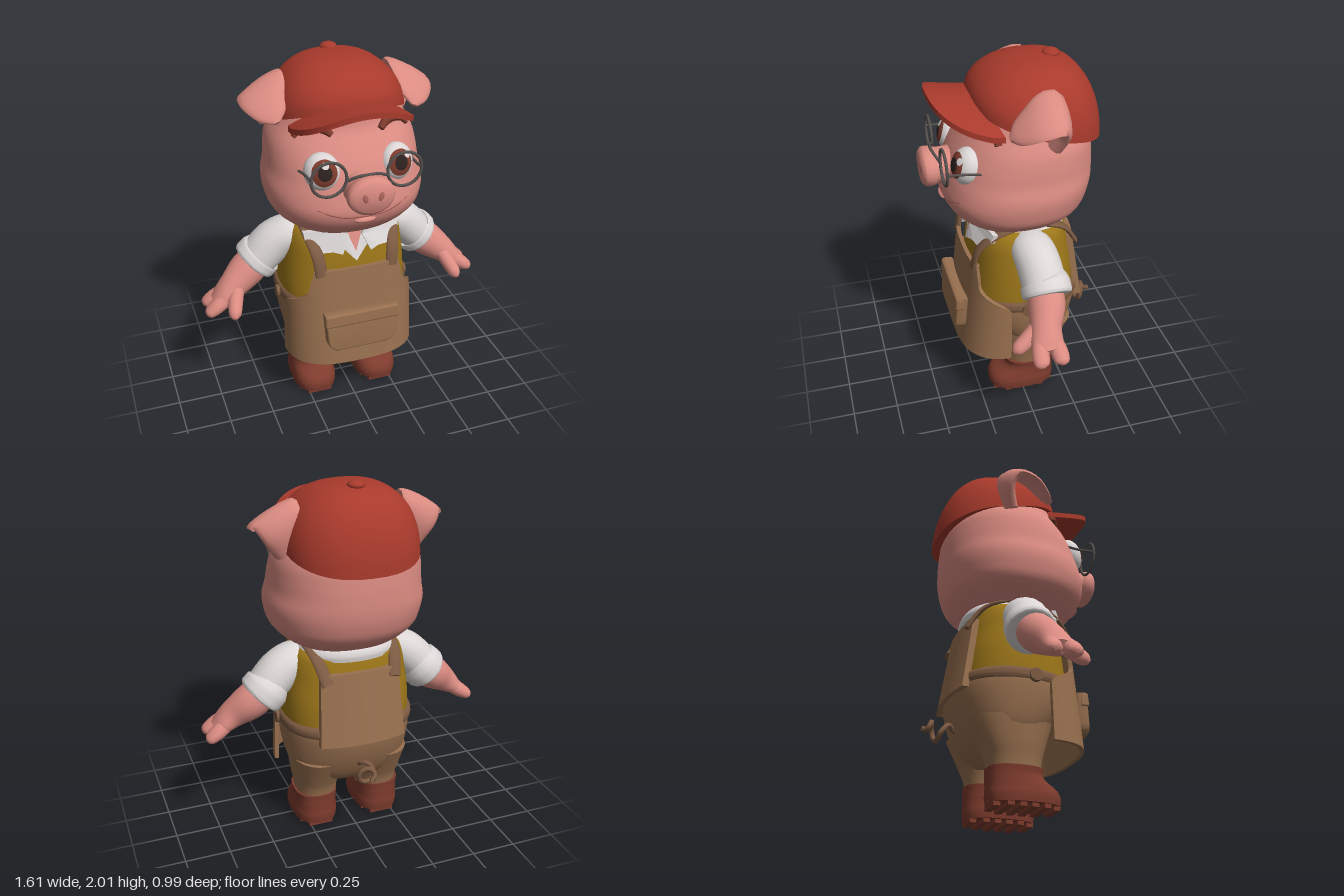
import * as THREE from 'three';
import { toCreasedNormals } from 'three/addons/utils/BufferGeometryUtils.js';
import { RoundedBoxGeometry } from 'three/addons/geometries/RoundedBoxGeometry.js';

const V = (x, y, z) => new THREE.Vector3(x, y, z);
const { lerp, smoothstep, degToRad } = THREE.MathUtils;
const mat = (name, color) => new THREE.MeshStandardMaterial({ name, color, side: THREE.DoubleSide });
const M = {
  skin: mat('skin pink', 0xdb8c82), deep: mat('deep pink', 0xb0665e), red: mat('cap red', 0xa83a2c),
  white: mat('shirt white', 0xdcd6d6), mustard: mat('vest mustard', 0x9c7619), brown: mat('overall brown', 0x98704f),
  strap: mat('strap brown', 0x7c5a42), boot: mat('boot brown', 0x7d3b2d), dark: mat('near black', 0x2c2220),
  metal: mat('metal grey', 0x55504e),
};

// Joins rows of points into a closed skin; strip caps suit thin slabs, fan caps suit round ends.
function loft(rows, strip = false, crease = 0.8) {
  const n = rows[0].length, m = rows.length, pos = rows.flat().flatMap(p => [p.x, p.y, p.z]), idx = [];
  for (let i = 0; i < m - 1; i++) for (let j = 0; j < n; j++) {
    const k = (j + 1) % n, a = i * n + j, b = i * n + k;
    idx.push(a, b, a + n, b, b + n, a + n);
  }
  [0, m - 1].forEach((r, e) => {
    const tri = (a, b, c) => (e ? idx.push(a, b, c) : idx.push(a, c, b));
    if (strip) for (let j = 0; j < n / 2 - 1; j++) {
      const a = r * n + j, d = r * n + n - 1 - j;
      tri(a, a + 1, d); tri(a + 1, d - 1, d);
    } else {
      const c = rows[r].reduce((s, p) => s.add(p), V(0, 0, 0)).divideScalar(n);
      pos.push(c.x, c.y, c.z);
      for (let j = 0; j < n; j++) tri(pos.length / 3 - 1, r * n + j, r * n + (j + 1) % n);
    }
  });
  const g = new THREE.BufferGeometry();
  g.setAttribute('position', new THREE.Float32BufferAttribute(pos, 3));
  g.setIndex(idx);
  return toCreasedNormals(g, crease);
}

const sp = (v, n) => Math.sign(v) * Math.abs(v) ** (2 / n);

// Smooths a list of five-number stations
function smooth(list, per = 4) {
  const A = new THREE.CatmullRomCurve3(list.map(s => V(s[0], s[1], s[2])), false, 'catmullrom');
  const B = new THREE.CatmullRomCurve3(list.map(s => V(s[3], s[4] ?? 0, 0)), false, 'catmullrom');
  const N = (list.length - 1) * per;
  return Array.from({ length: N + 1 }, (_, i) => {
    const a = A.getPoint(i / N), b = B.getPoint(i / N);
    return [a.x, a.y, a.z, b.x, b.y];
  });
}

// Upright body from stations [y, halfWidth, frontZ, backZ]
function upright(list, n = 2.3, cx = 0, seg = 40) {
  return loft(smooth(list).map(([y, rx, f, b]) => Array.from({ length: seg }, (_, j) => {
    const a = j / seg * Math.PI * 2;
    return V(cx + rx * sp(Math.sin(a), n), y, (f + b) / 2 + (f - b) / 2 * sp(Math.cos(a), n));
  })));
}

// Limb from stations [x, y, z, sideRadius, otherRadius]
function limb(list, side, seg = 18) {
  const s = smooth(list), P = s.map(q => V(q[0], q[1], q[2]));
  return loft(s.map((q, i) => {
    const T = P[Math.min(i + 1, P.length - 1)].clone().sub(P[Math.max(i - 1, 0)]).normalize();
    const W = side.clone().addScaledVector(T, -side.dot(T)).normalize(), U = T.clone().cross(W);
    return Array.from({ length: seg }, (_, j) => {
      const a = j / seg * Math.PI * 2;
      return P[i].clone().addScaledVector(W, q[3] * Math.cos(a)).addScaledVector(U, q[4] * Math.sin(a));
    });
  }), false, 1.0);
}

// Thin curved panel; fn(u, v, w) has w = 0 outside and w = 1 inside
function slab(nu, nv, fn) {
  return loft(Array.from({ length: nv + 1 }, (_, i) => {
    const row = w => Array.from({ length: nu + 1 }, (_, j) => fn(j / nu, i / nv, w));
    return [...row(0), ...row(1).reverse()];
  }), true);
}

const HEAD = [[1.08, .17, .15, -.18], [1.12, .29, .27, -.28], [1.2, .39, .355, -.365], [1.28, .422, .39, -.4],
  [1.36, .43, .38, -.415], [1.44, .413, .36, -.418], [1.52, .405, .33, -.415], [1.6, .39, .285, -.405],
  [1.68, .35, .235, -.37], [1.76, .3, .215, -.32], [1.84, .2, .15, -.22]];

// Depth of the face at x, y
function faceZ(x, y) {
  const i = HEAD.findIndex(h => h[0] > y), a = HEAD[i - 1], b = HEAD[i], t = (y - a[0]) / (b[0] - a[0]);
  const [, rx, f, k] = a.map((v, c) => lerp(v, b[c], t));
  return (f + k) / 2 + (f - k) / 2 * (1 - (Math.abs(x) / rx) ** 2.3) ** (1 / 2.3);
}

export function createModel() {
  const root = new THREE.Group();
  root.name = 'pigInOveralls';
  const add = (name, geo, m, parent = root) => {
    const o = new THREE.Mesh(geo, m);
    o.name = name;
    parent.add(o);
    return o;
  };
  const ball = (name, m, p, r) => {
    const o = add(name, new THREE.SphereGeometry(1, 20, 14), m);
    o.position.set(...p); o.scale.set(...r);
    return o;
  };
  const tube = (name, pts, r, m) => add(name, new THREE.TubeGeometry(new THREE.CatmullRomCurve3(pts), 40, r, 8), m);

  // Head, snout and mouth
  add('head', upright(HEAD), M.skin);
  add('snout', limb([[0, 1.41, .3, .12, .11], [0, 1.42, .4, .11, .09], [0, 1.42, .43, .123, .1],
    [0, 1.42, .47, .123, .1], [0, 1.42, .49, .1, .08]], V(1, 0, 0), 28), M.skin);
  tube('mouth', [-.24, -.18, -.1, -.04, 0, .04, .1, .18, .24].map(x => {
    const y = 1.27 + .9 * x * x - (Math.abs(x) < .05 ? 0 : .006);
    return V(x, y, faceZ(x, y) - .002);
  }), .006, M.deep);
  ball('lowerLip', M.skin, [0, 1.247, .375], [.06, .018, .025]);

  // Cap crown, button and drooping peak
  add('capCrown', loft(Array.from({ length: 13 }, (_, i) => {
    const f = i / 12 * Math.PI * .49, c = Math.cos(f) ** .75, s = Math.sin(f);
    return Array.from({ length: 44 }, (_, j) => {
      const a = j / 44 * Math.PI * 2, zn = Math.cos(a) * c;
      return V(.36 * c * sp(Math.sin(a), 2.4), lerp(1.66 + (zn > 0 ? .12 : .09) * zn, 1.985, s),
        -.115 + .345 * c * sp(Math.cos(a), 2.4));
    });
  })), M.red);
  ball('capButton', M.red, [0, 1.98, -.21], [.046, .025, .046]);
  add('capPeak', slab(28, 8, (u, v, w) => {
    const x = .32 * (2 * u - 1), out = (1 - v) * Math.sqrt(1 - (x / .325) ** 4);
    return V(x, 1.815 - 1.15 * x * x + .035 * out - .03 * w, .18 - .7 * x * x + .265 * out);
  }), M.red);

  for (const s of [1, -1]) {
    const side = s > 0 ? 'left' : 'right';
    // Folded ear
    add(side + 'Ear', limb([[.35 * s, 1.64, -.13, .06, .04], [.385 * s, 1.76, -.165, .1, .035],
      [.4 * s, 1.84, -.13, .135, .03], [.41 * s, 1.815, -.03, .125, .025], [.385 * s, 1.75, .06, .08, .02],
      [.37 * s, 1.715, .1, .02, .01]], V(.85 * s, -.48, .1)), M.skin);

    // Eye: white ball with iris, pupil and glint caps
    const eye = new THREE.Group();
    eye.name = side + 'Eye';
    eye.position.set(.2 * s, 1.505, .283);
    eye.rotation.set(-.3, .3 * s, 0);
    eye.scale.set(.093, .098, .07);
    root.add(eye);
    add('eyeWhite', new THREE.SphereGeometry(1, 24, 18), M.white, eye);
    const cap = (name, r, t, m, rx, ry) => {
      const g = new THREE.SphereGeometry(r, 24, 6, 0, Math.PI * 2, 0, t).rotateX(Math.PI / 2 + rx).rotateY(ry);
      add(name, g, m, eye);
    };
    cap('iris', 1.015, .78, M.boot, .05, -.2 * s);
    cap('pupil', 1.03, .4, M.dark, .05, -.2 * s);
    cap('glint', 1.045, .2, M.white, -.35, .25);

    add(side + 'Brow', limb([[.13, 1.672, .014], [.165, 1.7, .026], [.22, 1.708, .028], [.275, 1.685, .024], [.305, 1.65, .012]]
      .map(([x, y, r]) => [x * s, y, faceZ(x, y) + .008, r, .02]), V(0, 1, 0)), M.boot);
    const nose = ball(side + 'Nostril', M.deep, [.042 * s, 1.425, .482], [.02, .034, .012]);
    nose.rotation.z = -.25 * s;

    // Spectacle ring and arm
    const ring = add(side + 'Lens rim', new THREE.TorusGeometry(.092, .008, 8, 36), M.metal);
    ring.position.set(.2 * s, 1.51, .4);
    tube(side + 'Spectacle arm', [V(.288 * s, 1.51, .4), V(.29 * s, 1.505, .3), V(.31 * s, 1.5, .2)], .007, M.metal);

    // Sleeve, rolled cuff, arm and hand
    const Z = V(0, 0, 1);
    const arm = (name, list, m) => add(side + name, limb(list.map(q => [q[0] * s, ...q.slice(1)]), Z), m);
    arm('Sleeve', [[.22, 1.03, -.03, .09, .07], [.3, 1.015, -.035, .115, .095], [.38, .96, -.05, .12, .115], [.47, .87, -.06, .12, .11]], M.white);
    arm('Cuff', [[.445, .89, -.062, .11, .1], [.45, .885, -.064, .132, .125], [.475, .86, -.066, .136, .13],
      [.5, .835, -.066, .132, .125], [.505, .83, -.066, .1, .09]], M.white);
    arm('Forearm', [[.45, .88, -.06, .09, .09], [.54, .805, -.05, .1, .1], [.63, .735, -.02, .083, .08],
      [.7, .68, -.01, .085, .055], [.74, .655, -.01, .06, .035]], M.skin);
    for (const z of [-.06, .04])
      arm('Finger', [[.68, .69, z * .8, .04, .045], [.74, .65, z, .046, .042], [.785, .62, z * 1.1, .038, .03], [.8, .61, z * 1.1, .012, .012]], M.skin);
    arm('Thumb', [[.62, .73, .03, .04, .04], [.645, .68, .09, .042, .04], [.66, .645, .14, .036, .034], [.665, .63, .165, .012, .012]], M.skin);

    // Trouser leg and boot
    add(side + 'Leg', upright([[.15, .112, .08, -.185], [.24, .122, .09, -.2], [.32, .137, .11, -.235], [.45, .155, .15, -.3]], 2.3, .185 * s, 28), M.brown);
    add(side + 'Boot', upright([[.02, .125, .182, -.195], [.06, .129, .185, -.2], [.1, .124, .165, -.198], [.135, .12, .115, -.198],
      [.165, .118, .092, -.198], [.2, .122, .095, -.2]], 2.6, .19 * s, 32), M.boot);
    for (let i = 0; i < 6; i++) {
      const w = i === 0 || i === 5 ? .14 : .21;
      add(side + 'Boot tread', new THREE.BoxGeometry(w, .025, .035), M.boot).position.set(.19 * s, .0125, -.165 + i * .063);
    }

    // Strap over the shoulder and waist button
    add(side + 'Strap', limb([[.2, .87, .265], [.215, .99, .235], [.24, 1.085, .13], [.24, 1.125, -.05], [.22, 1.07, -.23], [.19, .95, -.315]]
      .map(([x, y, z]) => [x * s, y, z, .034, .014]), V(1, 0, 0)), M.strap);
    const b = add(side + 'Waist button', new THREE.CylinderGeometry(.035, .035, .025, 16), M.strap);
    b.rotation.z = Math.PI / 2;
    b.position.set(.38 * s, .655, .0);
  }
  tube('spectacleBridge', [V(-.11, 1.49, .4), V(-.06, 1.515, .42), V(0, 1.523, .43), V(.06, 1.515, .42), V(.11, 1.49, .4)], .008, M.metal);

  // Vest, trousers and waistband
  add('vest', upright([[.58, .355, .28, -.33], [.7, .36, .265, -.33], [.82, .355, .25, -.32], [.93, .34, .24, -.3],
    [1.02, .325, .225, -.285], [1.08, .295, .195, -.265], [1.12, .22, .14, -.2]], 2.6), M.mustard);
  add('trouserSeat', upright([[.27, .2, .04, -.17], [.33, .29, .1, -.25], [.42, .34, .18, -.305], [.53, .363, .26, -.345],
    [.63, .37, .29, -.362], [.69, .364, .275, -.345]], 2.3), M.brown);
  add('waistband', upright([[.635, .374, .285, -.366], [.65, .38, .29, -.37], [.68, .378, .285, -.366], [.695, .368, .275, -.35]], 2.35), M.strap);

  // Apron wrapping round the front, with a pocket
  add('apron', slab(32, 24, (u, v, w) => {
    const y = lerp(.325, .9, v), A = degToRad(lerp(lerp(86, 41, smoothstep(y, .64, .78)), 35, smoothstep(y, .78, .9)));
    const a = (2 * u - 1) * A, t = w * .022;
    return V((.378 - .015 * v - t) * sp(Math.sin(a), 2.8), y, .05 + (.3 - .065 * v - t) * sp(Math.cos(a), 2.8));
  }), M.brown);
  const pocket = new THREE.Shape();
  pocket.moveTo(-.2, .1);
  pocket.lineTo(.2, .1);
  pocket.lineTo(.19, -.06);
  pocket.quadraticCurveTo(.18, -.11, .13, -.11);
  pocket.lineTo(-.13, -.11);
  pocket.quadraticCurveTo(-.18, -.11, -.19, -.06);
  const pg = new THREE.ExtrudeGeometry(pocket, { depth: .04, bevelSize: .01, bevelThickness: .012, bevelSegments: 3 });
  const po = add('pocket', toCreasedNormals(pg, .7), M.brown);
  po.position.set(0, .555, .318);
  po.rotation.x = -.08;
  const flap = add('pocketFlap', new RoundedBoxGeometry(.425, .075, .05, 3, .012), M.brown);
  flap.position.set(0, .628, .345);
  flap.rotation.x = -.08;

  // Back panel
  add('backPanel', slab(14, 8, (u, v, w) => {
    const x = .235 * (1 - 2 * u) * (1.04 - .1 * v);
    return V(x, lerp(.6, 1.0, v), -(.385 - .065 * v) + .6 * x * x + .035 * w);
  }), M.brown);

  // Collar, neckline and flaps bent to the chest
  add('collar', upright([[1.055, .28, .2, -.29], [1.09, .278, .2, -.292], [1.125, .25, .19, -.27], [1.15, .18, .14, -.2]], 2.2), M.white);
  const plate = (name, pts, depth, lift, m) => {
    const shape = new THREE.Shape(pts.map(p => new THREE.Vector2(...p)));
    const g = new THREE.ExtrudeGeometry(shape, { depth, bevelEnabled: false }), p = g.attributes.position;
    for (let i = 0; i < p.count; i++) {
      const x = p.getX(i), y = p.getY(i);
      p.setZ(i, p.getZ(i) + lift + .245 - x * x - .3 * (y - .95));
    }
    g.computeVertexNormals();
    add(name, g, m);
  };
  plate('shirtFront', [[0, .93], [.12, 1.06], [.1, 1.11], [-.1, 1.11], [-.12, 1.06]], .008, .002, M.white);
  plate('throat', [[0, .985], [.05, 1.11], [-.05, 1.11]], .008, .008, M.skin);
  for (const s of [1, -1])
    plate('collarFlap', [[.035, 1.08], [.08, .985], [.13, 1.0], [.19, .995], [.265, 1.05], [.27, 1.1], [.06, 1.12]]
      .map(([x, y]) => [x * s, y]), .025, .012, M.white);

  // Curly tail
  tube('tail', Array.from({ length: 19 }, (_, i) => {
    const t = i / 18, a = t * Math.PI * 3.6, r = .055 * Math.sin(Math.PI * Math.min(1, t * 1.05));
    return V(r * Math.cos(a), .435 + r * Math.sin(a), -.29 - .1 * Math.min(t * 3, 1) - .1 * t * t);
  }), .014, M.strap);

  return root;
}
